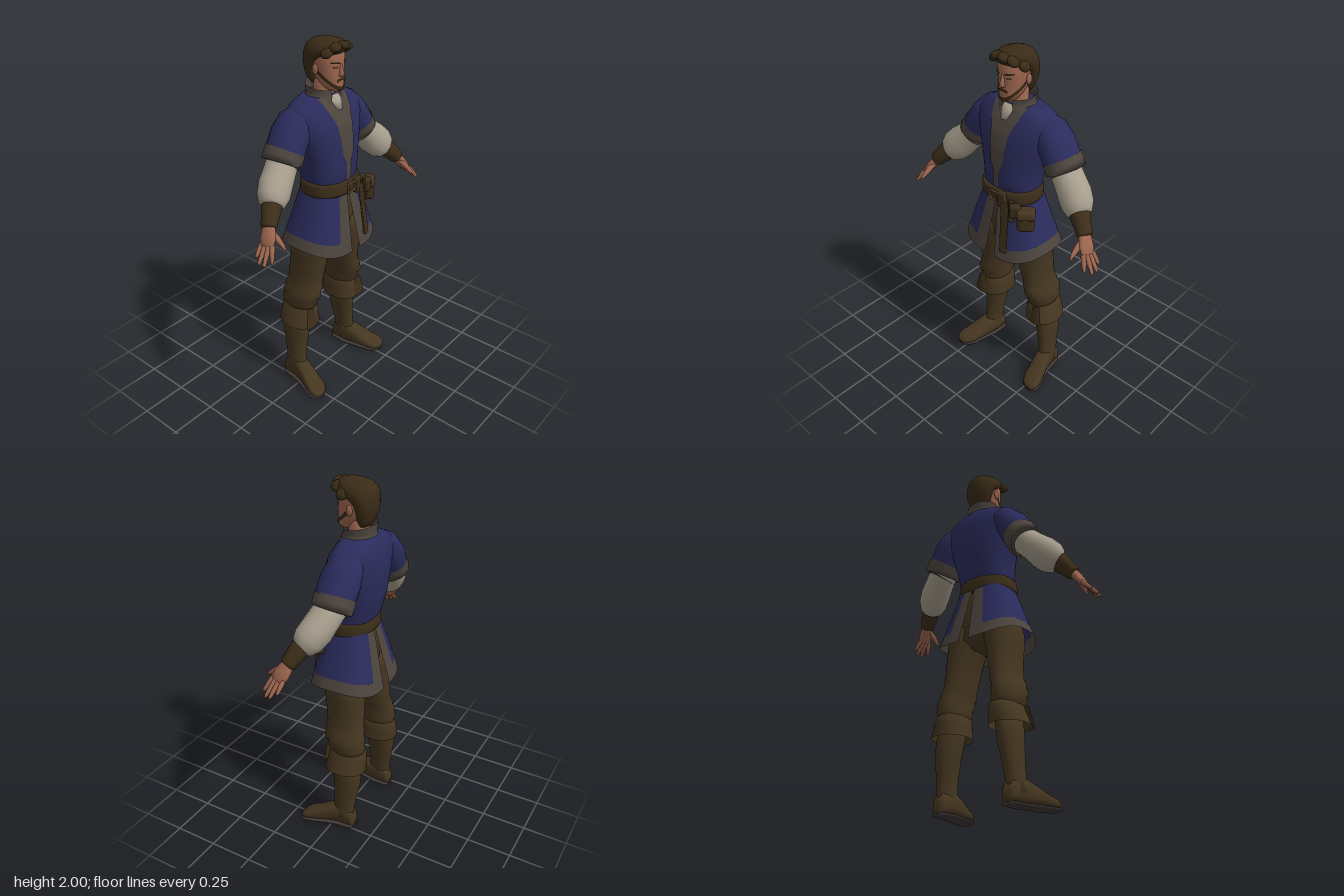
import * as THREE from 'three';
import { mergeVertices } from 'three/addons/utils/BufferGeometryUtils.js';
import { RoundedBoxGeometry } from 'three/addons/geometries/RoundedBoxGeometry.js';

const V = (x, y, z) => new THREE.Vector3(x, y, z);
const spow = (v, p) => Math.sign(v) * Math.abs(v) ** p;
const lerp = THREE.MathUtils.lerp;

// skin a list of point rows into a smooth surface
function skin(rows) {
  const n = rows[0].length, pos = [], idx = [];
  rows.forEach(r => r.forEach(p => pos.push(p.x, p.y, p.z)));
  for (let j = 0; j < rows.length - 1; j++) for (let i = 0; i < n - 1; i++) {
    const a = j * n + i, b = a + n;
    idx.push(a, a + 1, b + 1, a, b + 1, b);
  }
  let g = new THREE.BufferGeometry();
  g.setAttribute('position', new THREE.Float32BufferAttribute(pos, 3));
  g.setIndex(idx);
  g = mergeVertices(g, 1e-5);
  g.computeVertexNormals();
  return g;
}
function grid(fn, nu, nv) {
  const rows = [];
  for (let j = 0; j <= nv; j++) {
    const row = [];
    for (let i = 0; i <= nu; i++) row.push(fn(i / nu, j / nv));
    rows.push(row);
  }
  return skin(rows);
}
function capped(rows) {
  const mid = r => {
    const c = V(0, 0, 0);
    r.slice(1).forEach(p => c.add(p));
    c.divideScalar(r.length - 1);
    return r.map(() => c.clone());
  };
  return [mid(rows[0]), ...rows, mid(rows[rows.length - 1])];
}

// surface through level sections [y, xMin, xMax, zFront, zBack]; angle 0 faces front
function surface(rows, p = 1) {
  return (a, y, off = 0) => {
    let k = 0;
    while (k < rows.length - 2 && y > rows[k + 1][0]) k++;
    const t = THREE.MathUtils.clamp((y - rows[k][0]) / (rows[k + 1][0] - rows[k][0]), 0, 1);
    const [, x0, x1, zf, zb] = rows[k].map((v, i) => lerp(v, rows[k + 1][i], t));
    return V((x0 + x1) / 2 + ((x1 - x0) / 2 + off) * spow(Math.sin(a), p), y,
      (zf + zb) / 2 + ((zf - zb) / 2 + off) * spow(Math.cos(a), p));
  };
}
function stack(rows, { p = 1, n = 28, cap = true } = {}) {
  const s = surface(rows, p);
  const rings = rows.map(r => Array.from({ length: n + 1 }, (_, i) => s(i / n * Math.PI * 2, r[0])));
  return skin(cap ? capped(rings) : rings);
}
const sym = rows => rows.map(([y, w, zf, zb]) => [y, -w, w, zf, zb]);

// tube through [x, y, z, thickness, depth] sections, depth measured towards z
function limb(sec, { n = 18, cap = true } = {}) {
  const c = sec.map(s => V(s[0], s[1], s[2]));
  const rings = sec.map(([, , , ra, rb], j) => {
    const T = c[Math.min(j + 1, c.length - 1)].clone().sub(c[Math.max(j - 1, 0)]).normalize();
    const B = V(0, 0, 1).addScaledVector(T, -T.z).normalize();
    const A = B.clone().cross(T);
    return Array.from({ length: n + 1 }, (_, i) => {
      const a = (i % n) / n * Math.PI * 2;
      return c[j].clone().addScaledVector(A, ra * Math.cos(a)).addScaledVector(B, rb * Math.sin(a));
    });
  });
  return skin(cap ? capped(rings) : rings);
}
function mirrored(g) {
  const m = g.clone().scale(-1, 1, 1), ix = m.index.array;
  for (let i = 0; i < ix.length; i += 3) [ix[i], ix[i + 1]] = [ix[i + 1], ix[i]];
  m.computeVertexNormals();
  return m;
}

export function createModel() {
  const group = new THREE.Group();
  const mat = (name, color) => Object.assign(
    new THREE.MeshStandardMaterial({ color, side: THREE.DoubleSide }), { name });
  const blue = mat('blue cloth', 0x2b2c5c), trim = mat('grey trim', 0x4d453e);
  const brown = mat('brown trousers', 0x453620), leather = mat('dark leather', 0x3d2e1a);
  const linen = mat('linen', 0xa79e8d), flesh = mat('skin', 0x9c664e);
  const hairMat = mat('hair', 0x3a2b16), sole = mat('sole', 0x3d3635), metal = mat('buckle metal', 0x5c4c34);
  const add = (name, geo, m) => {
    const mesh = new THREE.Mesh(geo, m);
    mesh.name = name;
    group.add(mesh);
    return mesh;
  };
  const pair = (name, geo, m) => { add(name + 'Left', geo, m); add(name + 'Right', mirrored(geo), m); };

  // tunic body
  const torsoRows = sym([[1.24, .15, .11, -.11], [1.28, .158, .132, -.128], [1.33, .16, .134, -.142],
    [1.4, .175, .13, -.16], [1.5, .205, .122, -.167], [1.58, .232, .105, -.167], [1.64, .24, .078, -.158],
    [1.675, .215, .056, -.148], [1.7, .165, .042, -.135], [1.72, .11, .03, -.12]]);
  const P = .85, torso = surface(torsoRows, P);
  add('tunicBody', stack(torsoRows, { p: P, n: 40 }), blue);
  // front placket, narrowing towards the belt
  const placket = surface(sym([[1.26, .014, 0, 0], [1.38, .018, 0, 0], [1.42, .04, 0, 0], [1.5, .048, 0, 0],
    [1.6, .06, 0, 0], [1.66, .085, 0, 0], [1.72, .1, 0, 0]]));
  add('frontPlacket', grid((u, v) => {
    const y = lerp(1.26, 1.715, v), x = placket(Math.PI / 2, y).x * (2 * u - 1);
    const rx = torso(Math.PI / 2, y).x;
    return torso(Math.asin(spow(Math.min(1, Math.abs(x) / rx), 1 / P)) * Math.sign(x), y, .005);
  }, 10, 32), trim);
  // collar, open at the throat
  const collar = surface(sym([[1.67, .15, .064, -.146], [1.7, .122, .058, -.13], [1.725, .098, .05, -.115],
    [1.775, .104, .045, -.118]]));
  add('collar', grid((u, v) => {
    const a = lerp(.32, Math.PI * 2 - .32, u);
    return collar(a, lerp(1.675, 1.765 - .015 * Math.cos(a), v));
  }, 32, 6), trim);
  add('undershirtNeck', stack(sym([[1.65, .045, .085, -.06], [1.69, .058, .066, -.08], [1.715, .064, .045, -.09]])), linen);

  // skirt halves, split at front and back
  const skirt = (t, v) => {
    const a = t * Math.PI, d = 1 - v, gap = .003 + .03 * d;
    const s = Math.sin(a), c = Math.cos(a);
    return V(gap + (lerp(.152, .268, d) - gap) * spow(Math.max(0, s), .75),
      lerp(.925 - .05 * c * c, 1.24, v), spow(c, .8) * (c > 0 ? lerp(.125, .195, d) : lerp(.115, .203, d)));
  };
  const skirtPart = (name, t0, t1, v0, v1, m) =>
    pair(name, grid((u, v) => skirt(lerp(t0, t1, u), lerp(v0, v1, v)), Math.ceil(28 * (t1 - t0)), 5), m);
  skirtPart('skirtPanel', .09, .91, .19, 1, blue);
  skirtPart('skirtHem', 0, 1, 0, .19, trim);
  skirtPart('skirtFrontEdge', 0, .09, .19, 1, trim);
  skirtPart('skirtBackEdge', .91, 1, .19, 1, trim);

  // belt, buckle, hanging strap and pouches
  add('belt', stack(sym([[1.2, .166, .14, -.124], [1.215, .172, .148, -.13], [1.26, .17, .148, -.13],
    [1.275, .163, .142, -.124]]), { p: .9, n: 36 }), leather);
  const box = (name, size, pos, rot, m, r = .015) => {
    const b = add(name, new RoundedBoxGeometry(...size, 2, r), m);
    b.position.set(...pos);
    b.rotation.set(...rot);
    return b;
  };
  const frame = add('buckle', new THREE.TorusGeometry(.036, .007, 6, 4), metal);
  frame.rotation.z = Math.PI / 4;
  frame.position.set(0, 1.24, .156);
  box('beltKnot', [.05, .09, .03], [.055, 1.235, .15], [0, .2, .1], leather, .01);
  box('hangingStrap', [.042, .3, .012], [.085, 1.08, .172], [-.13, .2, .06], leather, .005);
  box('shortStrap', [.035, .13, .012], [.12, 1.19, .15], [-.1, .4, .05], leather, .005);
  box('largePouch', [.095, .12, .075], [.19, 1.15, .115], [-.1, .7, .05], leather, .025);
  box('largePouchFlap', [.1, .055, .085], [.19, 1.19, .115], [-.1, .7, .05], brown, .02);
  box('smallPouch', [.06, .08, .05], [.14, 1.2, .145], [0, .5, 0], leather, .018);

  // arms
  pair('tunicSleeve', limb([[.12, 1.66, -.06, .03, .05], [.185, 1.615, -.058, .075, .095],
    [.23, 1.555, -.055, .09, .108], [.28, 1.475, -.05, .093, .106]], { cap: false }), blue);
  pair('sleeveBand', limb([[.274, 1.485, -.05, .096, .109], [.292, 1.455, -.05, .097, .109],
    [.308, 1.428, -.048, .099, .108], [.306, 1.43, -.048, .09, .1]], { cap: false, n: 24 }), trim);
  pair('shirtSleeve', limb([[.24, 1.52, -.05, .07, .08], [.3, 1.44, -.045, .078, .085], [.345, 1.395, -.03, .08, .085],
    [.395, 1.345, -.012, .09, .085], [.435, 1.305, .01, .088, .08], [.462, 1.28, .026, .07, .064],
    [.475, 1.27, .035, .045, .045]]), linen);
  pair('bracer', limb([[.458, 1.285, .024, .05, .05], [.468, 1.275, .03, .055, .053], [.5, 1.24, .05, .046, .046],
    [.53, 1.205, .066, .04, .042], [.536, 1.198, .07, .033, .036]]), leather);
  pair('palm', limb([[.522, 1.215, .062, .024, .032], [.54, 1.19, .073, .024, .038], [.56, 1.16, .086, .022, .045],
    [.583, 1.127, .1, .015, .042]]), flesh);
  [[.632, 1.078, .072], [.65, 1.057, .105], [.645, 1.053, .135], [.615, 1.068, .162]].forEach((tip, i) => {
    const b = [.575, 1.138, .066 + .021 * i];
    const at = (t, r) => [...b.map((v, k) => lerp(v, tip[k], t)), r, r];
    pair('finger' + (i + 1), limb([at(0, .013), at(.5, .0125), at(.9, .009), at(1, .004)], { n: 8 }), flesh);
  });
  pair('thumb', limb([[.535, 1.185, .085, .016, .016], [.538, 1.16, .13, .016, .016], [.54, 1.135, .165, .011, .011],
    [.542, 1.12, .184, .005, .005]], { n: 10 }), flesh);

  // trousers
  add('hips', stack(sym([[.87, .06, .06, -.09], [.92, .16, .095, -.125], [1.02, .18, .105, -.125],
    [1.2, .145, .105, -.105]])), brown);
  pair('trouserLeg', stack([[.47, .12, .235, .02, -.145], [.51, .11, .25, .04, -.158], [.54, .102, .266, .058, -.166],
    [.57, .105, .258, .062, -.16], [.59, .098, .264, .078, -.163], [.62, .1, .25, .076, -.152],
    [.645, .088, .245, .08, -.152], [.67, .086, .234, .072, -.143], [.75, .068, .228, .082, -.14],
    [.85, .045, .23, .096, -.135], [.92, .015, .235, .102, -.13], [1, .01, .21, .1, -.125]]), brown);

  // tall boots with turned-down cuffs
  pair('bootShaft', stack([[.06, .178, .275, .02, -.12], [.12, .178, .268, .005, -.12], [.2, .168, .265, .005, -.13],
    [.3, .15, .265, .01, -.15], [.38, .135, .26, .02, -.152], [.48, .12, .24, .03, -.145]]), brown);
  pair('bootCuff', stack([[.4, .093, .292, .06, -.172], [.46, .098, .27, .05, -.17], [.51, .102, .248, .045, -.167],
    [.525, .12, .232, .02, -.14]], { cap: false, p: .9 }), brown);
  pair('cuffFlap', grid((u, v) => V(lerp(.195, .235, u) + (u - .5) * .05 * (1 - v), lerp(.405, .53, v),
    .058 - .014 * v + .012 * Math.sin(u * Math.PI)), 4, 3), leather);
  const shoe = (lo, hi, grow) => skin(capped([[-.128, .222, .03, .07], [-.112, .222, .043, .12], [-.03, .225, .05, .145],
    [.03, .24, .051, .12], [.09, .258, .057, .085], [.14, .272, .059, .064], [.172, .28, .046, .046],
    [.186, .283, .022, .03]].map(([z, cx, w, h]) => Array.from({ length: 21 }, (_, i) => {
    const a = -i / 20 * Math.PI * 2, top = hi ?? h;
    return V(cx + (w + grow) * spow(Math.cos(a), .75), (lo + top) / 2 - (top - lo) / 2 * spow(Math.sin(a), .75), z);
  })).reverse()));
  pair('shoe', shoe(.012, null, 0), brown);
  pair('shoeSole', shoe(0, .02, .003), sole);

  // head and neck
  const headRows = sym([[1.742, .024, .07, .01], [1.755, .042, .082, -.02], [1.78, .058, .083, -.05],
    [1.82, .07, .08, -.08], [1.87, .078, .079, -.1], [1.92, .08, .081, -.1], [1.96, .07, .06, -.09],
    [1.985, .04, .03, -.06]]);
  const head = surface(headRows, .95);
  add('neck', stack(sym([[1.65, .065, .02, -.1], [1.71, .056, .025, -.085], [1.8, .055, .03, -.085]])), flesh);
  add('head', stack(headRows, { p: .95 }), flesh);
  add('nose', stack(sym([[1.818, .01, .082, .06], [1.826, .018, .099, .06], [1.845, .012, .096, .06],
    [1.885, .008, .083, .06]]), { n: 10 }), flesh);
  const ear = new THREE.SphereGeometry(1, 12, 8).scale(.01, .028, .018).translate(.083, 1.855, -.018);
  pair('ear', ear, flesh);
  // face strips: centre angle, half width, height rule
  const strip = (a0, a1, low, high, off) => grid((u, v) => {
    const a = lerp(a0, a1, u);
    return head(a, lerp(low(a), high(a), v), off);
  }, 20, 4);
  add('beard', strip(-1.65, 1.65, a => 1.744 + .035 * a * a, a => 1.77 + .036 * a * a, .005), hairMat);
  add('moustache', strip(-.45, .45, a => 1.803 - .05 * a * a, a => 1.814 - .03 * a * a, .006), hairMat);
  pair('eyebrow', strip(.18, .75, a => 1.884 + .01 * a, a => 1.893 + .008 * a, .006), hairMat);
  pair('eye', strip(.3, .6, () => 1.866, () => 1.874, .004), hairMat);

  // swept hair
  add('hair', stack(sym([[1.77, .05, -.045, -.09], [1.8, .07, -.03, -.11], [1.84, .082, -.025, -.124],
    [1.88, .091, -.01, -.13], [1.915, .096, .04, -.132], [1.94, .098, .088, -.13], [1.965, .09, .096, -.116],
    [1.985, .07, .08, -.092], [1.996, .04, .055, -.06]])), hairMat);
  [[-.075, 1.945, .05, .5], [-.04, 1.97, .075, .3], [.01, 1.972, .08, -.3], [.055, 1.96, .065, -.6],
    [.085, 1.935, .02, -.9]].forEach(([x, y, z, r], i) => {
    const lock = add('hairLock' + (i + 1), new THREE.SphereGeometry(1, 12, 8), hairMat);
    lock.scale.set(.034, .022, .032);
    lock.position.set(x, y, z);
    lock.rotation.z = r;
  });
  return group;
}
